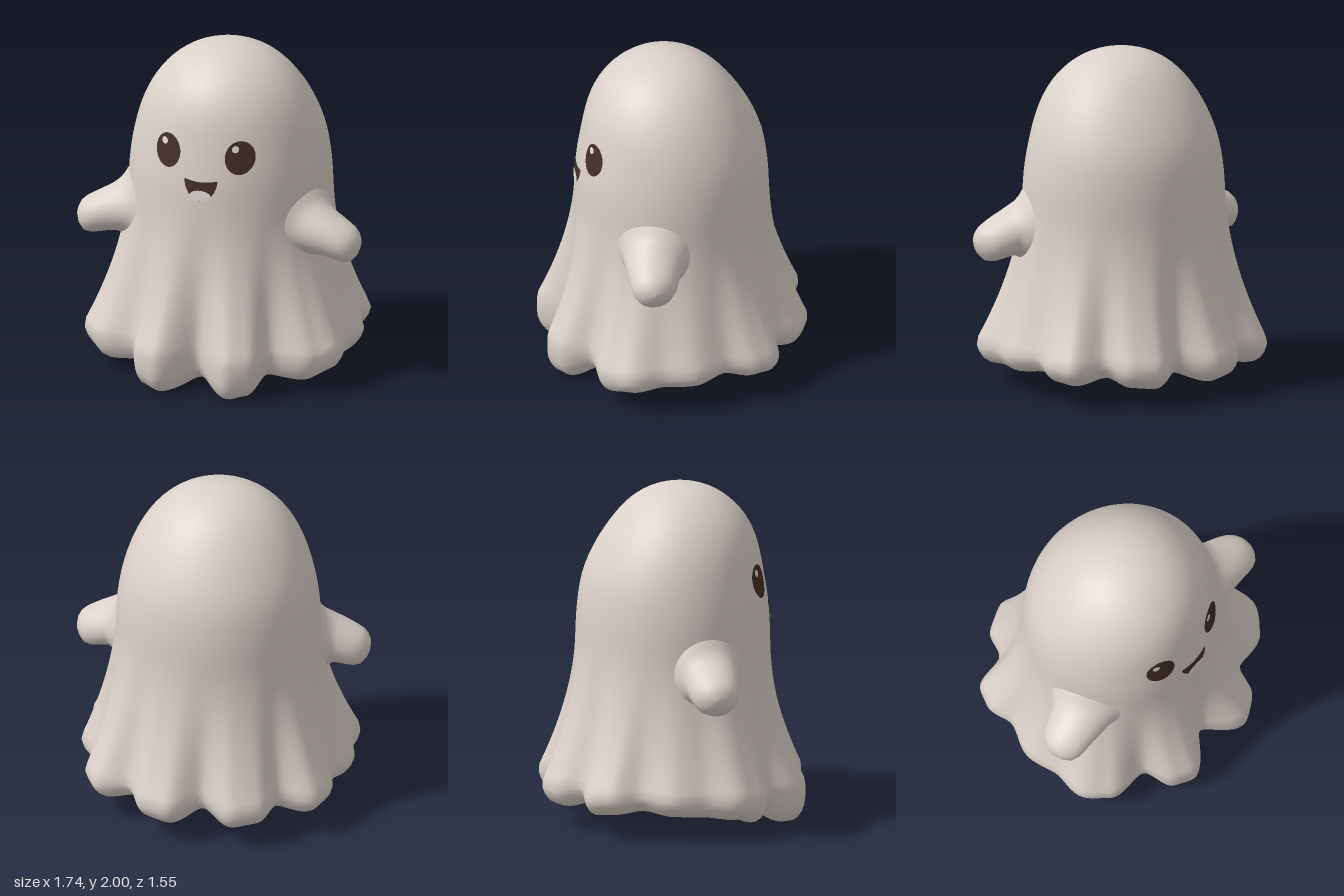
import * as THREE from 'three';

const { lerp, clamp, smoothstep } = THREE.MathUtils;
const SEG = 180;

// Hem keys: angle from the front in degrees, lobe radius, hem height
const HEM = [
  [0, 0.62, 0.06], [17, 0.81, 0], [25, 0.8, 0.015], [38, 0.7, 0.1], [54, 0.84, 0.085],
  [64, 0.875, 0.125], [79, 0.8, 0.14], [91, 0.815, 0.15], [107, 0.76, 0.17], [120, 0.84, 0.15],
  [128, 0.85, 0.14], [141, 0.72, 0.17], [154, 0.8, 0.13], [165, 0.8, 0.12], [180, 0.665, 0.17],
];

// Lobe radius and hem height at an angle, mirrored left to right
function hemAt(theta) {
  const deg = Math.abs(Math.atan2(Math.sin(theta), Math.cos(theta))) * 180 / Math.PI;
  let i = 1;
  while (i < HEM.length - 1 && HEM[i][0] < deg) i++;
  const a = HEM[i - 1], b = HEM[i];
  const t = smoothstep(deg, a[0], b[0]);
  return { r: lerp(a[1], b[1], t), y: lerp(a[2], b[2], t) };
}

// Smooth dome radius at a height
function domeRadius(y) {
  const s = clamp((y - 1.05) / 0.95, 0, 1);
  return 0.605 * Math.pow(1 - Math.pow(s, 2.3), 0.45);
}

// The crown leans slightly forward
const domeShift = (y) => 0.009 + 0.042 * smoothstep(y, 1.4, 1.85);

// Cloth point: the dome blends into the folds towards the hem
function clothPoint(theta, y) {
  const f = Math.pow(clamp((1.15 - y) / 0.9, 0, 1), 1.8);
  const r = lerp(domeRadius(y), hemAt(theta).r, f);
  return [r * Math.sin(theta), y, r * Math.cos(theta) * (1 - 0.055 * (1 - f)) + domeShift(y) * (1 - f)];
}

// Front of the dome at x, y
function faceZ(x, y) {
  const r = domeRadius(y);
  return domeShift(y) + 0.945 * Math.sqrt(Math.max(0, r * r - x * x));
}

// Closed rings joined into one smooth skin
function loft(rows, seg) {
  const pos = [], index = [];
  rows.forEach((row, i) => {
    for (let j = 0; j < seg; j++) {
      pos.push(...row(j / seg * Math.PI * 2));
      if (i === rows.length - 1) continue;
      const a = i * seg + j, b = i * seg + (j + 1) % seg;
      index.push(a, a + seg, b, b, a + seg, b + seg);
    }
  });
  const geo = new THREE.BufferGeometry();
  geo.setAttribute('position', new THREE.Float32BufferAttribute(pos, 3));
  geo.setIndex(index);
  geo.computeVertexNormals();
  return geo;
}

function bodyGeometry() {
  const rows = [];
  // Dome
  for (let i = 0; i <= 26; i++) {
    const y = 1.05 + 0.95 * Math.sin((1 - i / 26) * Math.PI / 2);
    rows.push((t) => clothPoint(t, y));
  }
  // Folded skirt
  for (let i = 1; i <= 24; i++) {
    rows.push((t) => clothPoint(t, lerp(1.05, hemAt(t).y + 0.15, i / 24)));
  }
  // Rounded lip: height above hem, inset
  for (const [h, inset] of [[0.1, 0.006], [0.06, 0.02], [0.025, 0.045], [0.006, 0.075], [0, 0.11], [0.005, 0.14]]) {
    rows.push((t) => {
      const hem = hemAt(t), r = hem.r - inset;
      return [r * Math.sin(t), hem.y + h, r * Math.cos(t)];
    });
  }
  // Nearly flat underside tilted up to the back, lobes fading into a circle: radius, fade
  for (const [radius, fade] of [[0.47, 0.35], [0.45, 0.75], [0.41, 1], [0.2, 1], [0.001, 1]]) {
    rows.push((t) => {
      const hem = hemAt(t), r = lerp(hem.r - 0.14, radius, fade);
      return [r * Math.sin(t), lerp(hem.y + 0.005, 0.14 - 0.08 * r * Math.cos(t), fade), r * Math.cos(t)];
    });
  }
  return loft(rows, SEG);
}

// Stubby arm from tip to a root that flares onto the cloth:
// x, centre y, half height, centre z, half depth, share of cloth shape, gap to cloth
function armGeometry(side) {
  const sections = [
    [0.872, 0.89, 0.001, 0.225, 0.001, 0, 0], [0.866, 0.89, 0.04, 0.225, 0.045, 0, 0],
    [0.85, 0.888, 0.075, 0.225, 0.08, 0, 0], [0.82, 0.885, 0.105, 0.222, 0.115, 0, 0],
    [0.78, 0.893, 0.12, 0.218, 0.135, 0, 0], [0.73, 0.912, 0.13, 0.212, 0.148, 0, 0],
    [0.69, 0.928, 0.137, 0.208, 0.155, 0.1, 0.09], [0.66, 0.942, 0.146, 0.205, 0.162, 0.4, 0.07],
    [0.63, 0.955, 0.158, 0.2, 0.17, 0.8, 0.045], [0, 0.968, 0.172, 0.195, 0.181, 1, 0.024],
    [0, 0.98, 0.19, 0.19, 0.197, 1, 0.007], [0, 0.99, 0.208, 0.185, 0.215, 1, -0.014],
  ];
  return loft(sections.map(([x, cy, ry, cz, rz, w, gap]) => (t) => {
    const y = cy + ry * Math.cos(t), z = cz + side * rz * Math.sin(t);
    const clothX = clothPoint(Math.acos((z - 0.01) / 0.58), y)[0];
    return [side * lerp(x, clothX + gap, w), y, z];
  }), 40);
}

// Thin disc bent onto the face; place(u, v) maps the unit disc to x, y
function facePatch(place, lift) {
  const geo = new THREE.RingGeometry(0.001, 1, 40, 8);
  const p = geo.attributes.position;
  for (let i = 0; i < p.count; i++) {
    const [x, y] = place(p.getX(i), p.getY(i));
    p.setXYZ(i, x, y, faceZ(x, y) + lift);
  }
  geo.computeVertexNormals();
  return geo;
}

const oval = (cx, cy, rx, ry) => (u, v) => [cx + rx * u, cy + ry * v];

export function createModel() {
  const cloth = new THREE.MeshStandardMaterial({ color: 0xdcd1ca });
  cloth.name = 'cloth';
  const dark = new THREE.MeshStandardMaterial({ color: 0x432e28 });
  dark.name = 'darkBrown';
  const pale = new THREE.MeshStandardMaterial({ color: 0xe2dbd5 });
  pale.name = 'paleGrey';

  const model = new THREE.Group();
  model.name = 'ghost';
  const add = (name, geo, mat) => {
    const mesh = new THREE.Mesh(geo, mat);
    mesh.name = name;
    model.add(mesh);
  };

  add('body', bodyGeometry(), cloth);

  for (const side of [1, -1]) {
    const label = side > 0 ? 'left' : 'right';
    add(label + 'Arm', armGeometry(side), cloth);
    add(label + 'Eye', facePatch(oval(side * 0.222, 1.452, 0.084, 0.1), 0.004), dark);
    add(label + 'EyeGlint', facePatch(oval(side * 0.222 - 0.025, 1.504, 0.02, 0.021), 0.008), pale);
  }

  // Smiling mouth with upturned corners, and tongue
  add('mouth', facePatch((u, v) => [0.102 * u, 1.285 + 0.022 * u * u + v * (v < 0 ? 0.105 : 0.012)], 0.004), dark);
  add('tongue', facePatch(oval(0, 1.215, 0.065, 0.032), 0.008), pale);

  return model;
}
